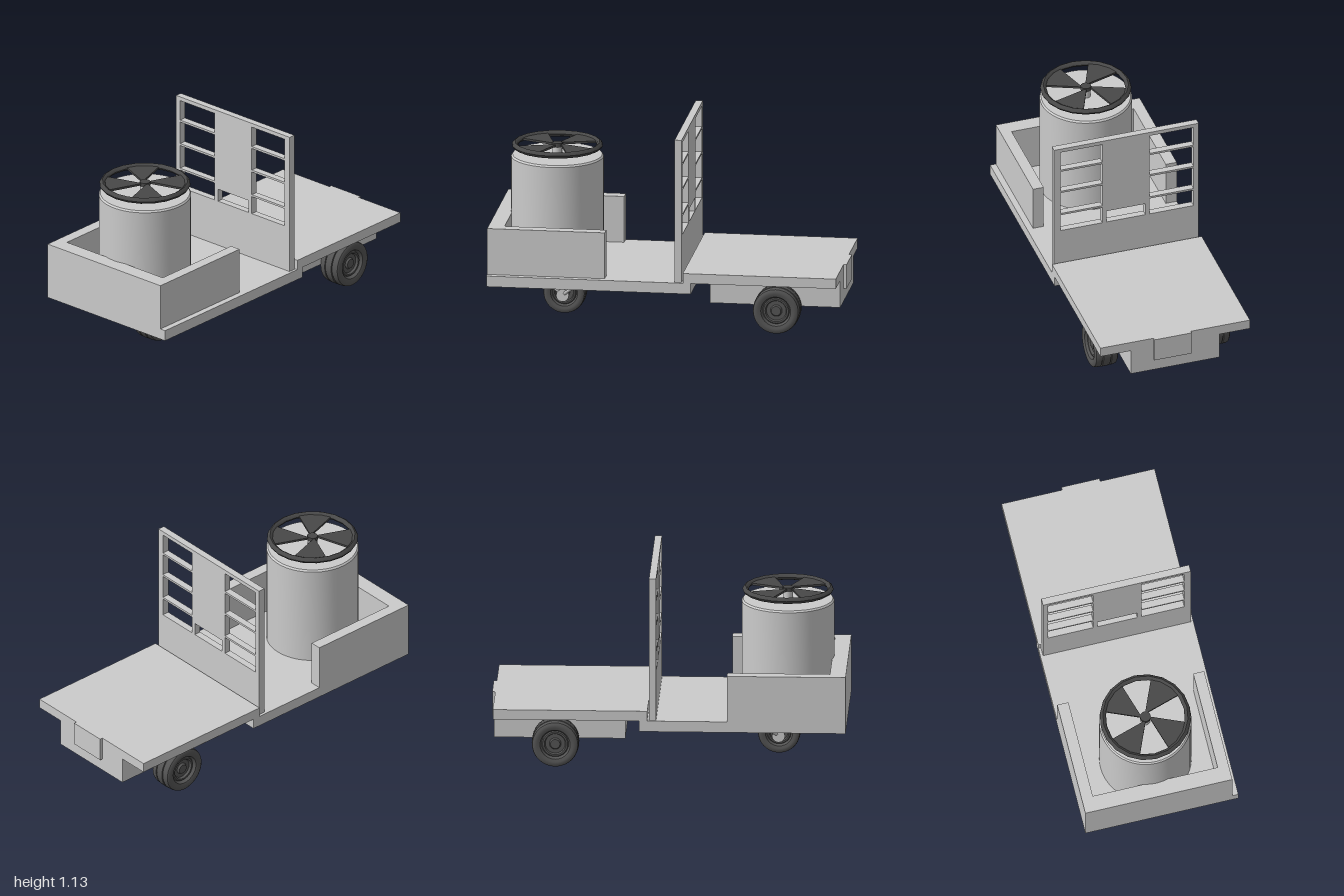
import * as THREE from 'three';
import { toCreasedNormals } from 'three/addons/utils/BufferGeometryUtils.js';

const grey = new THREE.MeshStandardMaterial({ color: 0xcccccc });
const dark = new THREE.MeshStandardMaterial({ color: 0x484848 });
const rubber = new THREE.MeshStandardMaterial({ color: 0x555555 });

export function createModel() {
  const root = new THREE.Group();

  function add(name, geometry, material = grey, parent = root) {
    const mesh = new THREE.Mesh(geometry, material);
    mesh.name = name;
    parent.add(mesh);
    return mesh;
  }

  // Box given by its extents on each axis
  function box(name, x0, x1, y0, y1, z0, z1) {
    const mesh = add(name, new THREE.BoxGeometry(x1 - x0, y1 - y0, z1 - z0));
    mesh.position.set((x0 + x1) / 2, (y0 + y1) / 2, (z0 + z1) / 2);
    return mesh;
  }

  // Round bar between two points
  function bar(name, a, b, radius, sides = 16) {
    const from = new THREE.Vector3(...a), to = new THREE.Vector3(...b);
    const dir = to.clone().sub(from);
    const mesh = add(name, new THREE.CylinderGeometry(radius, radius, dir.length(), sides));
    mesh.position.copy(from).add(to).multiplyScalar(0.5);
    mesh.quaternion.setFromUnitVectors(new THREE.Vector3(0, 1, 0), dir.normalize());
    return mesh;
  }

  function lathe(points, segments, crease = 0.6) {
    const profile = points.map(([r, y]) => new THREE.Vector2(r, y));
    return toCreasedNormals(new THREE.LatheGeometry(profile, segments), crease);
  }

  function rectHole(x0, x1, y0, y1) {
    return new THREE.Path([[x0, y0], [x0, y1], [x1, y1], [x1, y0]].map(p => new THREE.Vector2(...p)));
  }

  // Platform, rear deck and boxes beneath
  box('frontPlatform', -0.445, 0.44, 0.243, 0.305, -0.16, 1);
  box('rearDeck', -0.445, 0.44, 0.305, 0.362, -0.115, -0.983);
  box('rearHousing', -0.265, 0.26, 0.148, 0.305, -0.983, -0.245);
  box('rearPlate', -0.095, 0.125, 0.222, 0.362, -1, -0.98);
  box('undersidePanel', -0.218, 0.24, 0.225, 0.245, -0.09, 0.48);
  box('undersideTongue', -0.112, 0.14, 0.225, 0.245, 0.48, 0.94);

  // Low walls around the driver's area
  box('frontWall', -0.445, 0.405, 0.305, 0.572, 0.91, 1);
  box('rightWall', -0.445, -0.38, 0.305, 0.572, 0.333, 0.91);
  box('leftWall', 0.342, 0.405, 0.305, 0.572, 0.333, 0.91);

  // Upright rack with rungs either side of a solid centre
  const rack = new THREE.Shape([[-0.43, 0.305], [0.425, 0.305], [0.425, 1.133], [-0.43, 1.133]]
    .map(p => new THREE.Vector2(...p)));
  for (const [y0, y1] of [[0.576, 0.681], [0.693, 0.833], [0.845, 0.978], [0.99, 1.11]]) {
    rack.holes.push(rectHole(-0.4, -0.14, y0, y1), rectHole(0.14, 0.387, y0, y1));
  }
  rack.holes.push(rectHole(-0.115, 0.115, 0.576, 0.65));
  add('rack', new THREE.ExtrudeGeometry(rack, { depth: 0.04, bevelEnabled: false })).position.z = -0.106;

  // Drum with a bevelled rim
  const drum = add('drum', lathe([[0, 0], [0.26, 0], [0.26, 0.592], [0.252, 0.602], [0, 0.602]], 48));
  drum.position.set(-0.015, 0.305, 0.66);

  // Steering wheel: rim, four flared spokes and post
  bar('steeringPost', [-0.015, 0.9, 0.66], [-0.015, 0.96, 0.66], 0.027, 24);
  const steering = new THREE.Group();
  steering.name = 'steeringWheel';
  steering.position.set(-0.015, 0.962, 0.66);
  root.add(steering);
  add('steeringRim', lathe([[0.222, 0], [0.229, -0.012], [0.24, -0.018], [0.25, -0.012], [0.257, 0],
    [0.25, 0.012], [0.24, 0.018], [0.229, 0.012], [0.222, 0]], 20, 0.9), dark, steering);
  add('steeringHub', new THREE.CylinderGeometry(0.03, 0.03, 0.024, 16), dark, steering);
  const spokeShape = new THREE.Shape();
  spokeShape.moveTo(0.015, -0.012);
  spokeShape.absarc(0, 0, 0.232, -0.41, 0.41, false);
  spokeShape.lineTo(0.015, 0.012);
  const spokeGeometry = new THREE.ExtrudeGeometry(spokeShape, { depth: 0.012, bevelEnabled: false, curveSegments: 4 });
  spokeGeometry.translate(0, 0, -0.006).rotateX(-Math.PI / 2);
  for (let i = 0; i < 4; i++) {
    add('steeringSpoke', spokeGeometry, dark, steering).rotation.y = Math.PI / 4 + i * Math.PI / 2;
  }

  // Grooved tyre with stepped hub, mirrored about its middle
  function wheel(name, x, y, z, radius, width) {
    const w = width / 2;
    const half = [
      [0, 0.72 * w], [0.2 * radius, 0.72 * w], [0.25 * radius, 0.55 * w], [0.42 * radius, 0.55 * w],
      [0.46 * radius, 0.75 * w], [0.53 * radius, 0.75 * w], [0.57 * radius, 0.65 * w],
      [0.64 * radius, 0.92 * w], [0.76 * radius, w], [0.88 * radius, w], [0.96 * radius, 0.9 * w],
      [0.985 * radius, 0.72 * w], [0.99 * radius, 0.42 * w], [0.955 * radius, 0.39 * w],
      [0.955 * radius, 0.33 * w], [radius, 0.3 * w]
    ];
    const profile = [...half.map(([r, s]) => [r, -s]), ...half.slice().reverse()];
    const mesh = add(name, lathe(profile, 40, 0.7), rubber);
    mesh.rotation.z = Math.PI / 2;
    mesh.position.set(x, y, z);
  }
  wheel('rearRightWheel', -0.335, 0.146, -0.635, 0.133, 0.138);
  wheel('rearLeftWheel', 0.327, 0.146, -0.635, 0.133, 0.138);
  wheel('frontWheel', 0.018, 0.123, 0.61, 0.12, 0.128);
  bar('rearAxle', [-0.335, 0.143, -0.635], [0.327, 0.143, -0.635], 0.032, 24);

  // Front axle carried by a straight and a splayed strut on each side
  bar('frontAxle', [-0.1, 0.125, 0.61], [0.128, 0.125, 0.61], 0.016);
  for (const [hubX, outerX] of [[-0.1, -0.205], [0.128, 0.228]]) {
    bar('axleCap', [hubX - 0.012, 0.125, 0.61], [hubX + 0.012, 0.125, 0.61], 0.036, 24);
    bar('frontStrut', [hubX, 0.13, 0.615], [hubX, 0.24, 0.74], 0.01, 8);
    bar('rearStrut', [hubX, 0.13, 0.605], [outerX, 0.24, 0.485], 0.01, 8);
  }

  // The rear deck extents run front to back, so put them in ascending order
  const deck = root.getObjectByName('rearDeck');
  deck.geometry = new THREE.BoxGeometry(0.885, 0.057, 0.868);
  return root;
}
